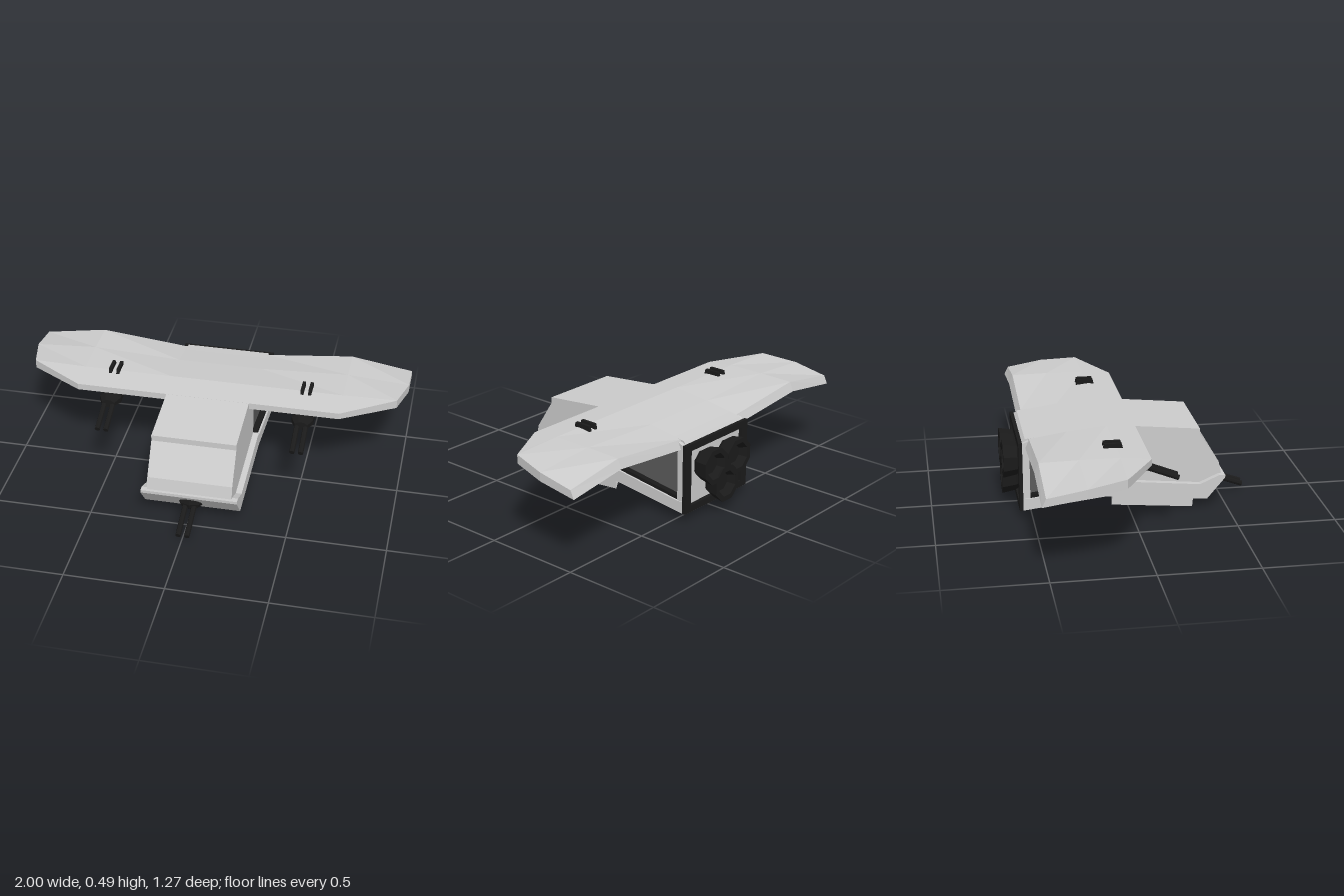
import * as THREE from 'three';

const paint = (color) => new THREE.MeshStandardMaterial({ color, flatShading: true });
const CX = 0.005; // hull centre line

export function createModel() {
  const model = new THREE.Group();
  const grey = paint(0xcccccc), dark = paint(0x5a5a5a), black = paint(0x1a1a1a);

  const add = (name, geometry, material, x = 0, y = 0, z = 0, parent = model) => {
    const mesh = new THREE.Mesh(geometry, material);
    mesh.name = name;
    mesh.position.set(x, y, z);
    parent.add(mesh);
    return mesh;
  };

  // Side profile given as [z, y] points, extruded across x and centred
  const slab = (points, width) => {
    const shape = new THREE.Shape(points.map(([z, y]) => new THREE.Vector2(z, y)));
    const g = new THREE.ExtrudeGeometry(shape, { depth: width, bevelEnabled: false });
    return g.translate(0, 0, -width / 2).rotateY(-Math.PI / 2);
  };

  // Eight-sided turned part, axis along +z (dir 1) or -z (dir -1)
  const turned = (points, dir) => new THREE.LatheGeometry(
    points.map(([r, a]) => new THREE.Vector2(r, a)), 8, Math.PI / 8).rotateX(dir * Math.PI / 2);

  // Pair of barrels from [y, z] start to [y, z] end
  const barrels = (name, x, [y0, z0], [y1, z1], parent) => {
    for (const side of [-1, 1]) {
      const length = Math.hypot(y1 - y0, z1 - z0);
      const b = add(name, new THREE.CylinderGeometry(0.014, 0.014, length, 8), black,
        x + side * 0.022, (y0 + y1) / 2, (z0 + z1) / 2, parent);
      b.rotation.x = Math.atan2(z1 - z0, y1 - y0);
    }
  };

  // Hull: cabin, wide lower skirt, and the narrower rear section
  add('cabin', slab([[0.36, 0.427], [-0.12, 0.474], [-0.12, 0.16], [0.36, 0.12],
    [0.475, 0.178], [0.46, 0.244], [0.36, 0.397]].reverse(), 0.43), grey, CX);
  add('lowerHull', slab([[0.49, 0.18], [0.46, 0.18], [0.36, 0.136], [-0.12, 0.183],
    [-0.12, 0.165], [-0.51, 0.112], [-0.546, 0.112], [-0.546, 0.05], [-0.125, 0.1],
    [0.397, 0.054], [0.49, 0.165]], 0.49), grey, CX);
  add('rearSidePanel', slab([[-0.11, 0.45], [-0.53, 0.4], [-0.53, 0.1], [-0.11, 0.15]], 0.41), dark, CX);
  add('rearSill', slab([[-0.12, 0.183], [-0.51, 0.129], [-0.51, 0.11], [-0.12, 0.16]], 0.47), black, CX);
  add('rearRoof', slab([[-0.11, 0.474], [-0.53, 0.424], [-0.546, 0.405], [-0.52, 0.376],
    [-0.11, 0.438]], 0.44), grey, CX);
  add('rearBulkhead', slab([[-0.51, 0.42], [-0.546, 0.405], [-0.546, 0.06], [-0.51, 0.06]], 0.48), grey, CX);

  // Rear frame and engines
  const frame = new THREE.Shape();
  frame.moveTo(-0.245, 0.05).lineTo(0.245, 0.05).lineTo(0.245, 0.41).lineTo(-0.245, 0.41).closePath();
  const opening = new THREE.Path();
  opening.moveTo(-0.2, 0.085).lineTo(-0.2, 0.375).lineTo(0.2, 0.375).lineTo(0.2, 0.085).closePath();
  frame.holes.push(opening);
  add('rearFrame', new THREE.ExtrudeGeometry(frame, { depth: 0.019, bevelEnabled: false }), black, CX, 0, -0.565);
  const nozzle = turned([[0.07, 0], [0.084, 0.02], [0.097, 0.089], [0.07, 0.089], [0.05, 0.05], [0, 0.05]], -1);
  for (const [x, y] of [[-0.09, 0.277], [0.09, 0.277], [0, 0.158]])
    add('engineNozzle', nozzle, black, CX + x, y, -0.546);

  // Wing: stations of [x, top y, bottom y, z] from leading to trailing edge
  const halfStations = [
    [[0.22, 0.46, 0.427, 0.028], [0.22, 0.476, 0.44, -0.12], [0.22, 0.454, 0.415, -0.32], [0.22, 0.425, 0.382, -0.53]],
    [[0.68, 0.46, 0.427, 0.028], [0.68, 0.476, 0.44, -0.12], [0.68, 0.476, 0.435, -0.32], [0.68, 0.473, 0.425, -0.53]],
    [[0.93, 0.473, 0.43, -0.115], [0.955, 0.475, 0.43, -0.13], [1, 0.455, 0.41, -0.32], [1, 0.422, 0.38, -0.53]],
  ];
  const stations = [...halfStations].reverse()
    .map((s) => s.map(([x, t, b, z]) => [-x, t, b, z])).concat(halfStations);
  const pos = [], index = [];
  for (const s of stations) {
    s.forEach(([x, t, , z], i) => pos.push(x, t, i === 3 ? z + 0.02 : z));
    [...s].reverse().forEach(([x, , b, z]) => pos.push(x, b, z));
  }
  for (let s = 0; s < stations.length - 1; s++) {
    for (let i = 0; i < 8; i++) {
      const a = s * 8 + i, b = s * 8 + (i + 1) % 8;
      index.push(a, a + 8, b, b, a + 8, b + 8);
    }
  }
  const last = (stations.length - 1) * 8;
  for (let i = 0; i < 3; i++) { // tip faces
    const a = i, b = i + 1, c = 6 - i, d = 7 - i;
    index.push(a, b, c, a, c, d, last + a, last + c, last + b, last + a, last + d, last + c);
  }
  const wing = new THREE.BufferGeometry();
  wing.setAttribute('position', new THREE.Float32BufferAttribute(pos, 3));
  wing.setIndex(index);
  wing.computeVertexNormals();
  add('wing', wing, grey);

  // Wing guns: pod below, neck through the wing, twin fins on top
  const pod = turned([[0, -0.148], [0.65, -0.148], [1.08, -0.13], [1.08, 0], [0.65, 0.045], [0, 0.045]], 1)
    .scale(0.055, 0.036, 1);
  for (const x of [-0.517, 0.493]) {
    const gun = new THREE.Group();
    gun.name = 'wingGun';
    gun.position.x = x;
    model.add(gun);
    add('gunPod', pod, black, 0, 0.37, 0, gun);
    add('gunNeck', new THREE.BoxGeometry(0.06, 0.06, 0.05), black, 0, 0.42, -0.098, gun);
    barrels('gunBarrel', 0, [0.372, 0.01], [0.302, 0.187], gun);
    for (const side of [-1, 1])
      add('topFin', slab([[-0.085, 0.46], [-0.094, 0.497], [-0.178, 0.497], [-0.187, 0.46]].reverse(), 0.016),
        black, side * 0.02, 0, 0, gun);
  }

  // Chin gun
  add('chinTurret', new THREE.SphereGeometry(0.05, 8, 6).scale(1.35, 0.95, 1), black, CX, 0.115, 0.43);
  barrels('chinBarrel', CX, [0.108, 0.43], [0.036, 0.63]);

  // Belly bays: wedge doors either side of a shallow floor with studs.
  // Lower hull underside slopes, so everything here shares its tilt.
  const belly = new THREE.Group();
  belly.name = 'bellyBays';
  belly.position.set(CX, 0.08, 0.12);
  belly.rotation.x = Math.atan2(0.046, 0.522);
  model.add(belly);
  const door = (apex, foot) => {
    const s = new THREE.Shape([[apex, 0.01], [apex, -0.055], [foot, -0.005], [foot, 0.01]]
      .map(([x, y]) => new THREE.Vector2(x, y)));
    return new THREE.ExtrudeGeometry(s, { depth: 0.42, bevelEnabled: false }).translate(0, 0, -0.21);
  };
  for (const side of [-1, 1]) {
    add('outerBayDoor', door(side * 0.222, side * 0.195), grey, 0, 0, 0, belly);
    add('innerBayDoor', door(side * 0.057, side * 0.09), grey, 0, 0, 0, belly);
    for (const z of [-0.11, 0.11])
      add('bayStud', new THREE.CylinderGeometry(0.03, 0.015, 0.025, 8), dark, side * 0.143, -0.01, z, belly);
  }
  add('centreStrip', new THREE.BoxGeometry(0.1, 0.01, 0.42), dark, 0, 0, 0, belly);

  // Dark hatches under the tail
  for (const side of [-1, 1]) {
    const hatch = add('tailHatch', new THREE.BoxGeometry(0.11, 0.01, 0.16), dark, CX + side * 0.115, 0.066, -0.41);
    hatch.rotation.x = -Math.atan2(0.05, 0.421);
  }
  return model;
}
